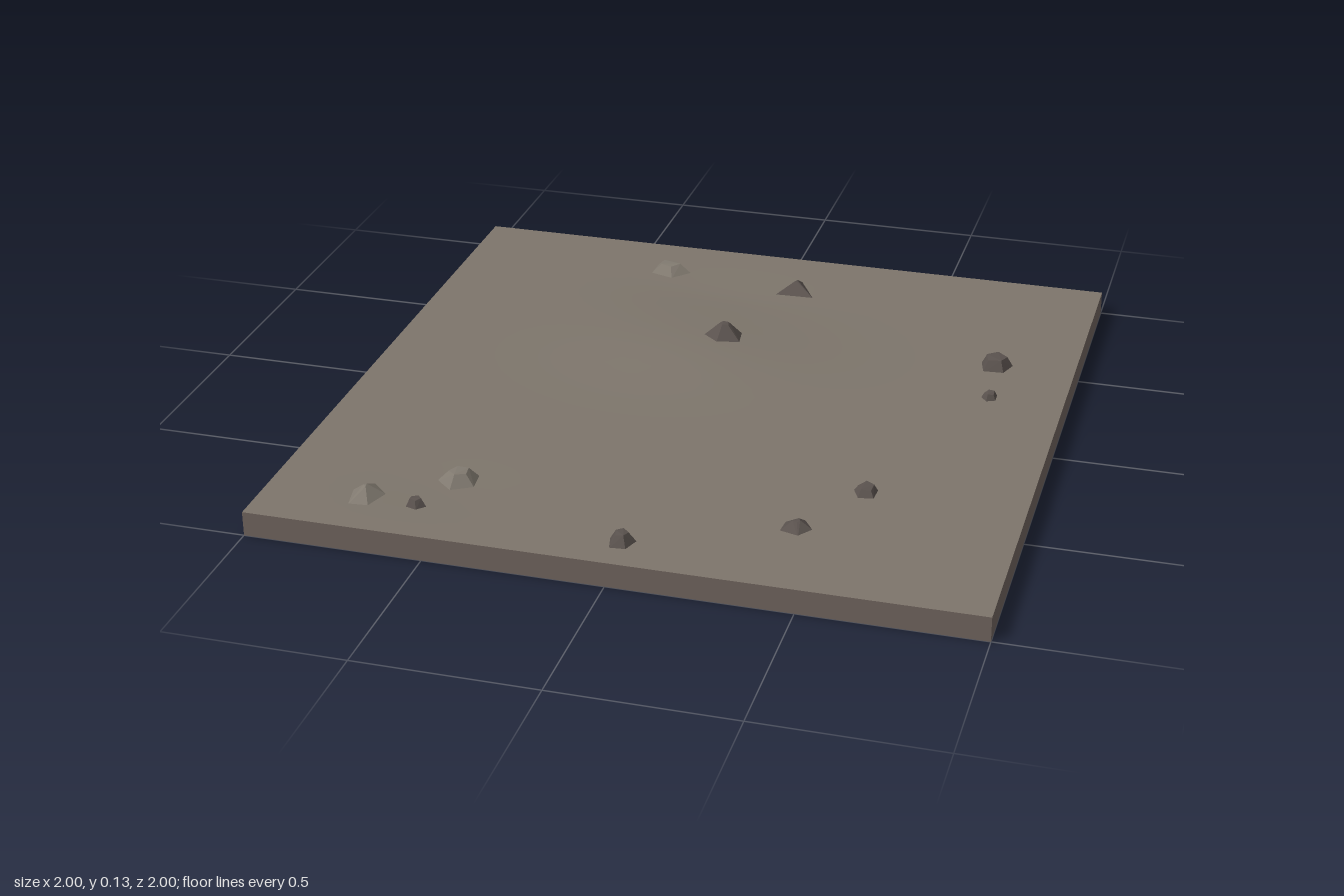
import * as THREE from 'three';
import { ConvexGeometry } from 'three/addons/geometries/ConvexGeometry.js';

const material = (name, color, flatShading = false) =>
  Object.assign(new THREE.MeshStandardMaterial({ color, flatShading }), { name });

const BASE = 0.07;
// Gentle rises and hollows of the ground: x, z, radius x, radius z, height
const MOUNDS = [
  [-0.12, -0.25, 0.36, 0.26, 0.021],
  [-0.15, -0.68, 0.25, 0.13, -0.007],
  [-0.55, 0.72, 0.2, 0.14, -0.004],
];
function groundHeight(x, z) {
  let rise = 0;
  for (const [cx, cz, rx, rz, a] of MOUNDS) {
    rise += a * Math.exp(-(((x - cx) / rx) ** 2) - ((z - cz) / rz) ** 2);
  }
  const edge = Math.min(1, (1 - Math.max(Math.abs(x), Math.abs(z))) / 0.15);
  return BASE + rise * Math.max(0, edge);
}

// Rocks: x, z, radius x, radius z, top height, top facet size, sides, first corner angle
const PALE_ROCKS = [
  [-0.345, -0.81, 0.068, 0.06, 0.096, 0.45, 5, -2.5],
  [-0.508, 0.68, 0.062, 0.058, 0.1, 0.45, 5, -0.8],
  [-0.72, 0.825, 0.053, 0.077, 0.1, 0.12, 5, -1.57],
];
const DARK_ROCKS = [
  [0.08, -0.76, 0.077, 0.08, 0.105, 0.08, 3, -1.57],
  [-0.045, -0.35, 0.064, 0.06, 0.13, 0.25, 5, -0.75],
  [0.77, -0.395, 0.052, 0.052, 0.102, 0.62, 5, -1.57],
  [0.787, -0.187, 0.025, 0.03, 0.088, 0.6, 5, -0.7],
  [0.565, 0.457, 0.038, 0.045, 0.09, 0.6, 5, -0.5],
  [0.43, 0.692, 0.052, 0.05, 0.093, 0.2, 5, 0],
  [0.012, 0.885, 0.04, 0.047, 0.1, 0.45, 5, -1.57],
  [-0.573, 0.84, 0.031, 0.028, 0.092, 0.5, 5, 0],
];

// Convex lump: an uneven polygon on the soil, narrowing to a smaller tilted facet
function rockGeometry([x, z, rx, rz, top, taper, sides, turn]) {
  const foot = groundHeight(x, z) - 0.005;
  const points = [];
  for (let k = 0; k < sides; k++) {
    const angle = turn + (k / sides) * Math.PI * 2;
    const uneven = 1 + 0.06 * Math.sin(k * 2.4 + x * 9);
    const dx = Math.cos(angle) * rx * uneven;
    const dz = Math.sin(angle) * rz * uneven;
    points.push(new THREE.Vector3(x + dx, foot, z + dz));
    points.push(new THREE.Vector3(x + dx * taper, top - (k % 2) * 0.003, z + dz * taper));
  }
  return new ConvexGeometry(points);
}

function rockGroup(name, rocks, stone) {
  const group = new THREE.Group();
  group.name = name;
  for (const rock of rocks) {
    const mesh = new THREE.Mesh(rockGeometry(rock), stone);
    mesh.name = 'rock';
    group.add(mesh);
  }
  return group;
}

export function createModel() {
  const model = new THREE.Group();
  model.name = 'rockyGroundTile';
  const soil = material('soil', 0x7d756b);
  const earth = material('earthSide', 0x6e625c);
  const paleStone = material('paleStone', 0x817a70, true);
  const darkStone = material('darkStone', 0x5a524e, true);

  // Slab whose top face is shaped by the mounds
  const slab = new THREE.BoxGeometry(2, BASE, 2, 40, 1, 40).translate(0, BASE / 2, 0);
  const pos = slab.attributes.position;
  for (let i = 0; i < pos.count; i++) {
    if (pos.getY(i) > BASE / 2) pos.setY(i, groundHeight(pos.getX(i), pos.getZ(i)));
  }
  slab.computeVertexNormals();
  const ground = new THREE.Mesh(slab, [earth, earth, soil, earth, earth, earth]);
  ground.name = 'ground';

  model.add(
    ground,
    rockGroup('paleRocks', PALE_ROCKS, paleStone),
    rockGroup('darkRocks', DARK_ROCKS, darkStone),
  );
  return model;
}
